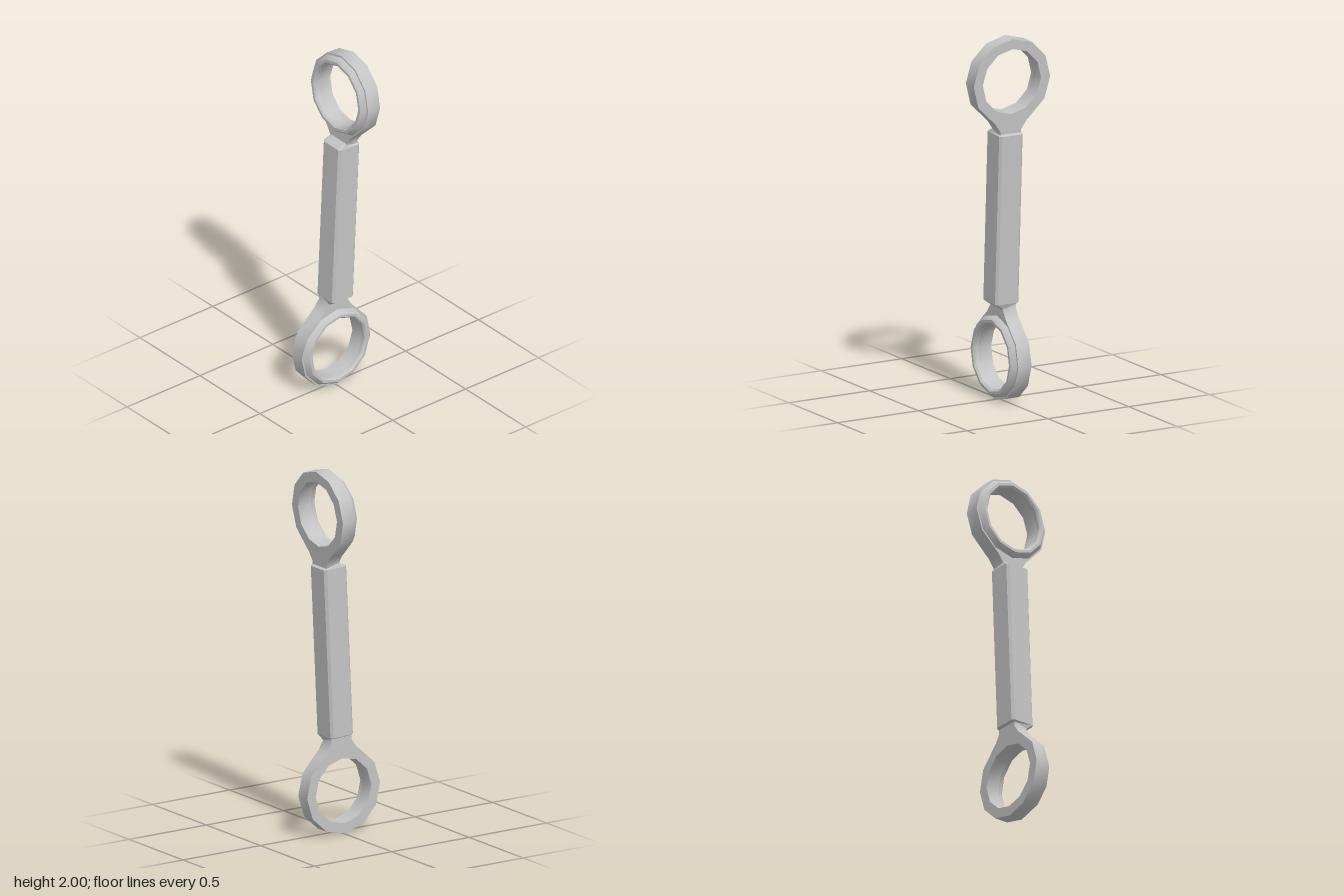
import * as THREE from 'three';
import { toCreasedNormals } from 'three/addons/utils/BufferGeometryUtils.js';

const SIDES = 12, OUTER = 0.236, HOLE = 0.18, LENGTH = 1.531, TILT = 0.047;

// Points of a regular polygon, counted clockwise from the top
const ngonPoint = (r, i) => {
  const a = (i / SIDES) * Math.PI * 2;
  return new THREE.Vector2(Math.sin(a) * r, Math.cos(a) * r);
};

// Flat ring with the neck that flares into the bar
function ringGeometry() {
  const left = [[-0.064, 0.32], [-0.064, 0.272], [-0.095, 0.226]].map(([x, y]) => new THREE.Vector2(x, y));
  const right = left.map((p) => new THREE.Vector2(-p.x, p.y));
  const round = [];
  for (let i = 1; i < SIDES; i++) round.push(ngonPoint(OUTER, i));
  const shape = new THREE.Shape([...right, ...round, ...left.reverse()]);
  // The hole runs against the outline so its wall faces inwards
  const hole = [];
  for (let i = SIDES; i > 0; i--) hole.push(ngonPoint(HOLE, i));
  shape.holes.push(new THREE.Path(hole));
  const g = new THREE.ExtrudeGeometry(shape, { depth: 0.082, bevelEnabled: false });
  g.translate(0, 0, -0.057);
  return toCreasedNormals(g, 0.6);
}

// Raised, bevelled collar on one face of the ring
function collarGeometry() {
  const profile = [[0.227, 0.024], [0.214, 0.047], [0.205, 0.055], [0.19, 0.055], [HOLE, 0.045], [HOLE, 0.024]];
  const g = new THREE.LatheGeometry(profile.map(([x, y]) => new THREE.Vector2(x, y)), SIDES);
  g.rotateX(Math.PI / 2);
  return toCreasedNormals(g, 0.6);
}

// Bar lofted through chamfered rectangles:
// [y, xMin, xMax, zMin, zMax, chamfer, slope along x, slope along z]
function barGeometry() {
  const w = 0.0725, c = 0.013;
  const sections = [
    [0.28, -0.062, 0.062, -0.057, 0.026, 0.006, 0, -0.3],
    [0.305, -w, w, -w, w, c, 0, 0],
    [LENGTH - 0.295, -w, w, -w, w, c, 0, 0],
    [LENGTH - 0.274, -0.026, 0.057, -0.062, 0.062, 0.006, -0.24, 0],
  ];
  const positions = [], index = [], n = 8;
  for (const [y, x0, x1, z0, z1, k, slopeX, slopeZ] of sections) {
    const loop = [
      [x1, z1 - k], [x1, z0 + k], [x1 - k, z0], [x0 + k, z0],
      [x0, z0 + k], [x0, z1 - k], [x0 + k, z1], [x1 - k, z1],
    ];
    for (const [x, z] of loop) positions.push(x, y + slopeX * x + slopeZ * z, z);
  }
  for (let s = 0; s < sections.length - 1; s++) {
    for (let i = 0; i < n; i++) {
      const a = s * n + i, b = s * n + ((i + 1) % n);
      index.push(a, b, b + n, a, b + n, a + n);
    }
  }
  const top = (sections.length - 1) * n;
  for (let i = 1; i < n - 1; i++) {
    index.push(0, i + 1, i);
    index.push(top, top + i, top + i + 1);
  }
  const g = new THREE.BufferGeometry();
  g.setAttribute('position', new THREE.Float32BufferAttribute(positions, 3));
  g.setIndex(index);
  const flat = g.toNonIndexed();
  flat.computeVertexNormals();
  return flat;
}

export function createModel() {
  const steel = new THREE.MeshStandardMaterial({ color: 0xc4c4c4 });
  steel.name = 'steel grey';
  const part = (name, geometry) => {
    const mesh = new THREE.Mesh(geometry, steel);
    mesh.name = name;
    return mesh;
  };

  const ring = ringGeometry(), collar = collarGeometry();
  const eye = (name) => {
    const group = new THREE.Group();
    group.name = name;
    group.add(part('ring', ring), part('collar', collar));
    return group;
  };

  // The upper eye is the lower one turned over and given a quarter twist
  const lowerEye = eye('lowerEye');
  const upperEye = eye('upperEye');
  upperEye.position.y = LENGTH;
  upperEye.rotation.set(Math.PI, Math.PI / 2, 0, 'YXZ');

  const link = new THREE.Group();
  link.name = 'link';
  link.add(lowerEye, part('bar', barGeometry()), upperEye);
  link.position.set(0.002, OUTER, 0);
  link.rotation.z = -TILT;

  const model = new THREE.Group();
  model.name = 'connectingLink';
  model.add(link);
  return model;
}
